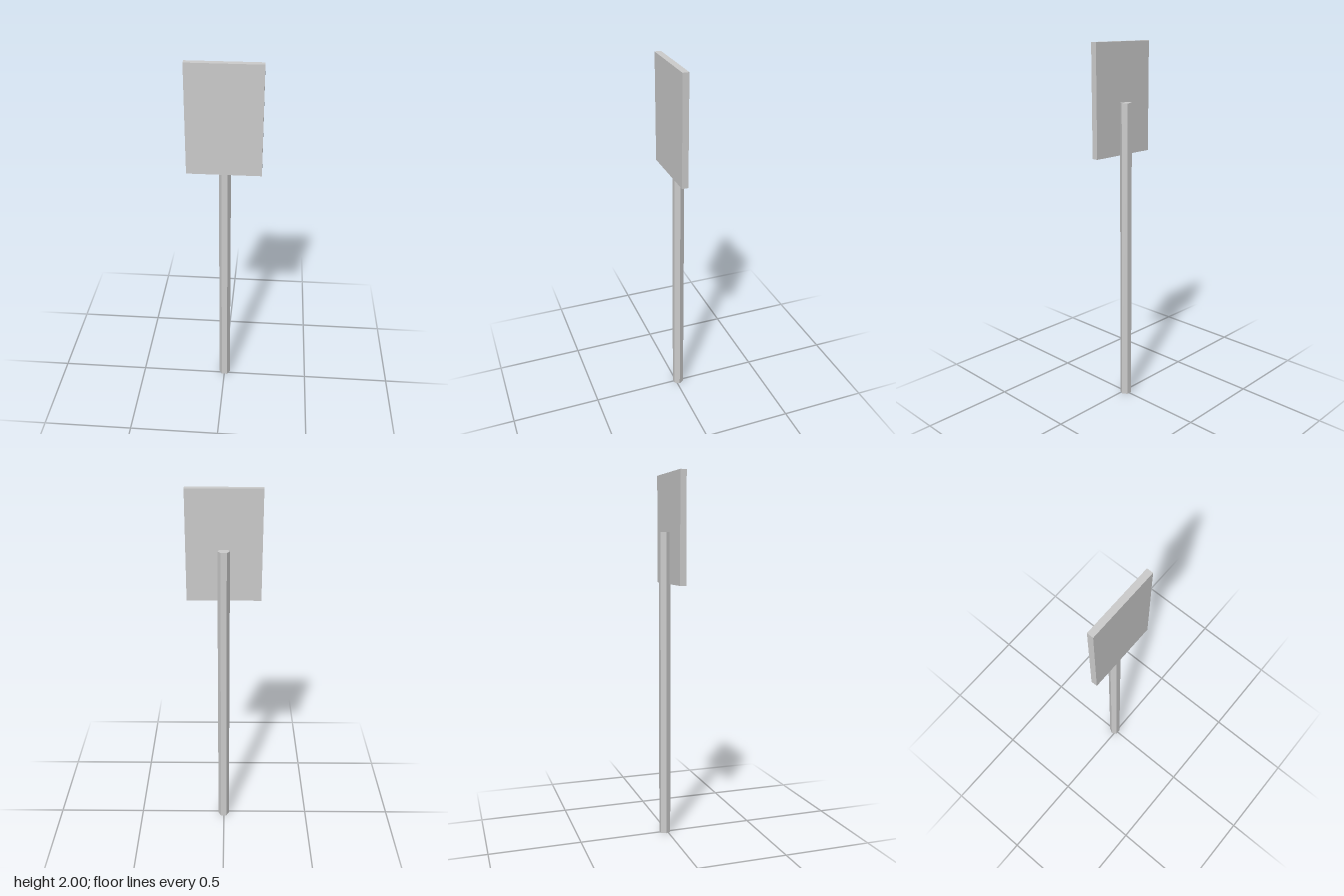
import * as THREE from 'three';

export function createModel() {
  const model = new THREE.Group();
  const material = new THREE.MeshStandardMaterial({ color: 0xcccccc, flatShading: true });

  const add = (name, geometry, x, y, z) => {
    const mesh = new THREE.Mesh(geometry, material);
    mesh.name = name;
    mesh.position.set(x, y, z);
    model.add(mesh);
  };

  // Hexagonal post, flat side against the panel and sunk slightly into it
  const postHeight = 1.69, postRadius = 0.032;
  const post = new THREE.CylinderGeometry(postRadius, postRadius, postHeight, 6).rotateY(Math.PI / 6);
  add('post', post, 0.0015, postHeight / 2, -0.0134);

  // Flat rectangular sign panel on the front of the post
  const panelHeight = 0.588;
  add('signPanel', new THREE.BoxGeometry(0.392, panelHeight, 0.034), 0, 2 - panelHeight / 2, 0.0235);

  return model;
}
